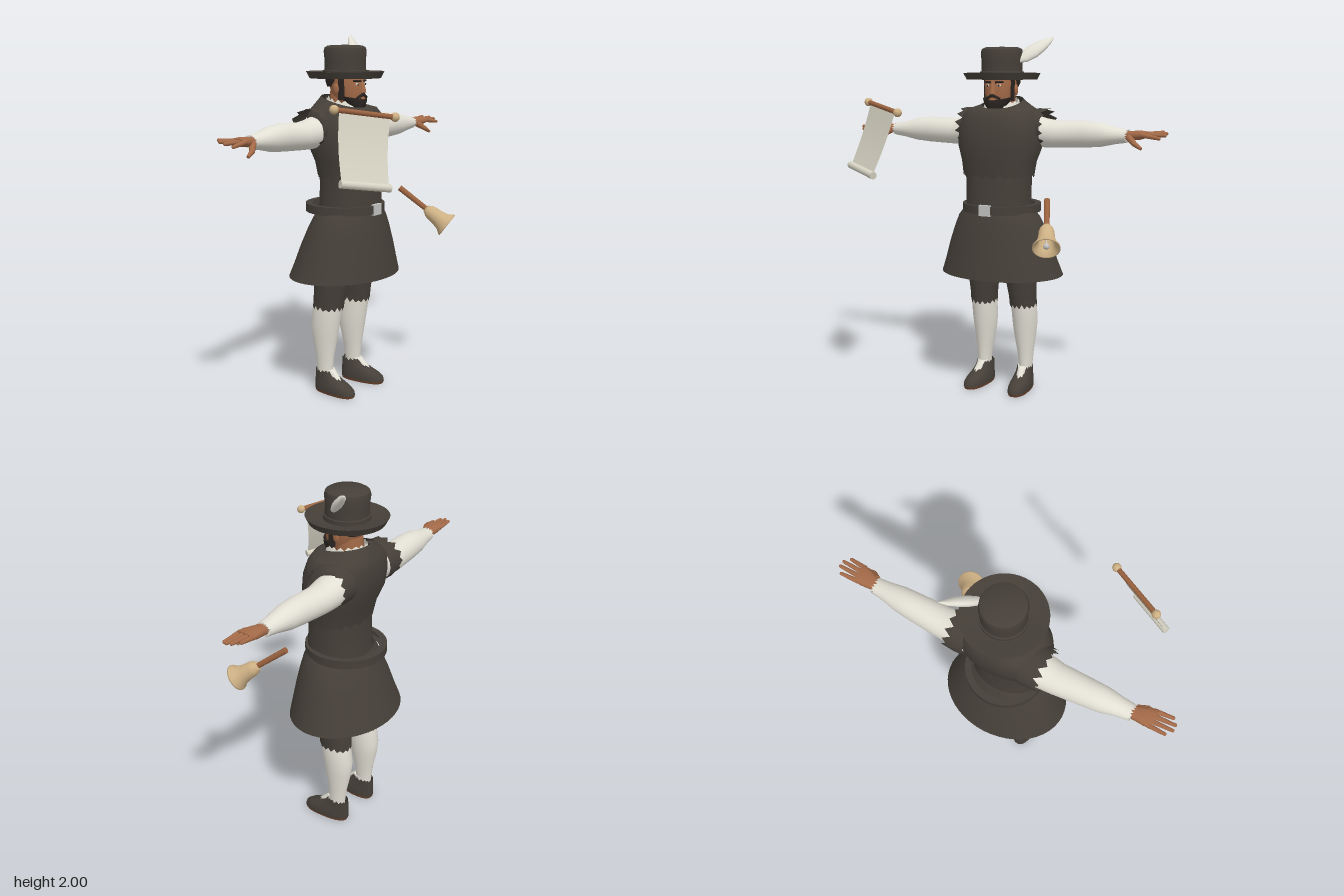
import * as THREE from 'three';
import { toCreasedNormals } from 'three/addons/utils/BufferGeometryUtils.js';

const paint = (name, color, side = THREE.FrontSide) => {
  const m = new THREE.MeshStandardMaterial({ color, side });
  m.name = name;
  return m;
};

// Loft through ovals, lowest first. Ring: [y, rx, zFront, zBack, cx, tilt]
function loft(rings, { n = 32, p = 2, jagLow = 0, jagHigh = 0, caps = true } = {}) {
  const pos = [], idx = [], last = rings.length - 1;
  const bend = v => Math.sign(v) * Math.abs(v) ** (2 / p);
  rings.forEach(([y, rx, zf, zb, cx = 0, tilt = 0], k) => {
    for (let i = 0; i < n; i++) {
      const a = (i / n) * Math.PI * 2, c = bend(Math.cos(a));
      const tooth = (i % 2 ? 1 : 0.35 * Math.sin(i * 2.3)) * (k === 0 ? -jagLow : k === last ? jagHigh : 0);
      pos.push(cx + rx * bend(Math.sin(a)), y - tilt * c + tooth, (zf + zb) / 2 + ((zf - zb) / 2) * c);
    }
  });
  for (let k = 0; k < last; k++) for (let i = 0; i < n; i++) {
    const a = k * n + i, b = k * n + (i + 1) % n;
    idx.push(a, b, a + n, b, b + n, a + n);
  }
  if (caps) for (const k of [0, last]) {
    const [y, , zf, zb, cx = 0] = rings[k], base = pos.length / 3;
    pos.push(...pos.slice(k * n * 3, (k + 1) * n * 3), cx, y, (zf + zb) / 2);
    for (let i = 0; i < n; i++) {
      const a = base + i, b = base + (i + 1) % n;
      idx.push(base + n, ...(k ? [a, b] : [b, a]));
    }
  }
  const g = new THREE.BufferGeometry();
  g.setAttribute('position', new THREE.Float32BufferAttribute(pos, 3));
  g.setIndex(idx);
  g.computeVertexNormals();
  return g;
}

export function createModel() {
  const root = new THREE.Group();
  const cloth = paint('dark cloth', 0x453f38, THREE.DoubleSide);
  const linen = paint('white linen', 0xe2dfd4, THREE.DoubleSide);
  const paper = paint('parchment', 0xd6d3c3, THREE.DoubleSide);
  const skin = paint('skin', 0xa36a48);
  const hair = paint('black hair', 0x2b2521);
  const wood = paint('wood', 0x99623f);
  const brass = paint('pale brass', 0xcdb084, THREE.DoubleSide);
  const steel = paint('steel', 0xc4c4c2);
  const leather = paint('sole leather', 0x6e442e);

  const V = (...a) => new THREE.Vector3(...a);
  const UP = V(0, 1, 0);
  const add = (name, geo, mat, parent = root) => {
    const m = new THREE.Mesh(geo, mat);
    m.name = name;
    parent.add(m);
    return m;
  };
  const aim = (obj, from, to) => {
    obj.position.copy(from);
    obj.quaternion.setFromUnitVectors(UP, to.clone().sub(from).normalize());
    return obj;
  };
  const bar = (name, a, b, ra, rb, mat, parent) => {
    const len = a.distanceTo(b);
    return aim(add(name, new THREE.CylinderGeometry(rb, ra, len, 14).translate(0, len / 2, 0), mat, parent), a, b);
  };
  const ball = (name, at, r, mat, parent, sx = 1, sy = 1, sz = 1) => {
    const m = add(name, new THREE.SphereGeometry(r, 16, 12).scale(sx, sy, sz), mat, parent);
    m.position.copy(at);
    return m;
  };
  const box = (name, w, h, d, x, y, z, mat, parent) =>
    add(name, new THREE.BoxGeometry(w, h, d).translate(x, y, z), mat, parent);

  // Skirt, waistcoat, belt and doublet
  add('skirt', loft([
    [0.68, 0.357, 0.095, -0.463], [0.76, 0.328, 0.083, -0.432], [0.86, 0.298, 0.066, -0.394],
    [0.95, 0.265, 0.048, -0.355], [1.01, 0.238, 0.034, -0.325], [1.045, 0.21, 0.022, -0.305],
  ], { n: 48, caps: false }), cloth);
  add('waistcoat', loft([
    [1.02, 0.19, 0.018, -0.3], [1.1, 0.182, 0.015, -0.295], [1.2, 0.184, 0.008, -0.288], [1.3, 0.19, 0.005, -0.29],
  ], { p: 2.3 }), cloth);
  const beltRing = [0.22, 0.04, -0.398], beltHole = [0.19, 0.012, -0.36];
  add('belt', toCreasedNormals(loft([
    [1.036, ...beltHole], [1.036, ...beltRing], [1.082, ...beltRing], [1.082, ...beltHole],
  ], { n: 48, caps: false }), 0.8), cloth);
  box('beltBuckle', 0.066, 0.06, 0.02, 0, 1.06, 0.036, steel);
  add('doublet', loft([
    [1.25, 0.2, 0.012, -0.29], [1.32, 0.211, 0.022, -0.308], [1.41, 0.24, 0.028, -0.345],
    [1.5, 0.238, 0.022, -0.36], [1.57, 0.22, 0, -0.357], [1.605, 0.19, -0.022, -0.345],
    [1.63, 0.13, -0.05, -0.325, 0, 0.02], [1.642, 0.108, -0.062, -0.31, 0, 0.032],
  ], { n: 40, p: 2.3, jagLow: 0.02, caps: false }), cloth);
  add('shirtCollar', loft([
    [1.56, 0.12, -0.045, -0.3, 0, 0.01], [1.64, 0.09, -0.075, -0.28, 0, 0.015],
  ], { jagHigh: 0.015, caps: false }), linen);

  // Head
  const head = new THREE.Group();
  head.name = 'head';
  root.add(head);
  add('neck', loft([[1.55, 0.07, -0.11, -0.27], [1.7, 0.066, -0.12, -0.262]]), skin, head);
  add('skull', loft([
    [1.585, 0.03, -0.085, -0.15], [1.62, 0.058, -0.07, -0.2], [1.68, 0.077, -0.06, -0.25],
    [1.74, 0.084, -0.06, -0.265], [1.8, 0.083, -0.068, -0.265],
  ], { p: 2.2 }), skin, head);
  add('beard', loft([
    [1.58, 0.022, -0.07, -0.12], [1.605, 0.047, -0.057, -0.15], [1.64, 0.071, -0.052, -0.165], [1.668, 0.08, -0.054, -0.17, 0, 0.01],
  ], { p: 2.2 }), hair, head);
  add('hair', loft([
    [1.72, 0.07, -0.165, -0.27], [1.75, 0.088, -0.155, -0.273], [1.8, 0.088, -0.15, -0.272],
  ], { p: 2.6 }), hair, head);
  add('nose', loft([[1.69, 0.017, -0.036, -0.075], [1.705, 0.016, -0.038, -0.08], [1.755, 0.008, -0.054, -0.08]], { n: 12 }), skin, head);
  ball('mouth', V(0, 1.658, -0.052), 0.02, skin, head, 1, 0.25, 0.25);
  for (const s of [1, -1]) {
    bar('moustache', V(0, 1.682, -0.052), V(s * 0.042, 1.664, -0.062), 0.009, 0.006, hair, head);
    ball('eyeWhite', V(s * 0.034, 1.735, -0.068), 0.012, linen, head, 1, 0.55, 0.6);
    ball('pupil', V(s * 0.034, 1.735, -0.0625), 0.0055, hair, head, 1, 1, 0.5);
    bar('eyebrow', V(s * 0.014, 1.752, -0.058), V(s * 0.056, 1.754, -0.077), 0.006, 0.005, hair, head);
    box('sideburn', 0.01, 0.13, 0.035, s * 0.081, 1.715, -0.14, hair, head);
    ball('ear', V(s * 0.088, 1.71, -0.17), 0.03, skin, head, 0.35, 1, 0.6);
  }

  // Hat and feather
  const hatProfile = [[0, 1.768], [0.195, 1.766], [0.214, 1.802], [0.205, 1.802], [0.16, 1.79], [0.121, 1.786],
    [0.121, 1.808], [0.114, 1.81], [0.112, 1.86], [0.117, 1.91], [0.111, 1.93], [0.094, 1.94], [0, 1.944]];
  const hat = new THREE.LatheGeometry(hatProfile.map(q => new THREE.Vector2(...q)), 48);
  add('hat', toCreasedNormals(hat, 0.7), cloth).position.z = -0.174;
  const feather = add('hatFeather', loft([
    [0, 0.008, 0.008, -0.008], [0.04, 0.034, 0.02, -0.02], [0.1, 0.043, 0.024, -0.024],
    [0.16, 0.036, 0.02, -0.022], [0.21, 0.022, 0.01, -0.016], [0.25, 0.002, 0.002, -0.002],
  ], { n: 16 }), linen);
  aim(feather, V(0.1, 1.863, -0.17), V(0.248, 1.998, -0.322));

  // Arms and legs, the second side mirrored
  for (const s of [1, -1]) {
    const side = new THREE.Group();
    side.name = s > 0 ? 'leftLimbs' : 'rightLimbs';
    side.scale.x = s;
    root.add(side);

    // Lofts along x
    const along = (name, rings, mat, opts) => add(name, loft(rings, opts).rotateZ(-Math.PI / 2), mat, side);
    along('shoulderCap', [
      [0.15, 0.105, -0.105, -0.345, -1.5], [0.2, 0.107, -0.11, -0.348, -1.503], [0.235, 0.103, -0.115, -0.345, -1.505],
    ], cloth, { n: 26, jagHigh: 0.032, caps: false });
    along('sleeve', [
      [0.15, 0.09, -0.13, -0.325, -1.49], [0.25, 0.08, -0.14, -0.32, -1.475], [0.32, 0.074, -0.15, -0.315, -1.47],
      [0.48, 0.073, -0.155, -0.302, -1.476], [0.57, 0.064, -0.157, -0.292, -1.475],
      [0.65, 0.045, -0.168, -0.272, -1.473], [0.71, 0.034, -0.175, -0.262, -1.473],
    ], linen, { jagHigh: 0.015 });
    along('palm', [
      [0.69, 0.024, -0.185, -0.25, -1.474], [0.74, 0.025, -0.175, -0.25, -1.477],
      [0.79, 0.024, -0.155, -0.255, -1.481], [0.83, 0.016, -0.152, -0.254, -1.485],
    ], skin, { n: 20, p: 2.4 });
    for (const [z, tipX, tipY, tipZ] of [[-0.164, 0.905, 1.47, -0.15], [-0.19, 0.927, 1.484, -0.183], [-0.217, 0.927, 1.492, -0.215], [-0.243, 0.9, 1.497, -0.25]]) {
      const tip = V(tipX, tipY, tipZ);
      bar('finger', V(0.81, 1.484, z), tip, 0.0135, 0.009, skin, side);
      ball('fingertip', tip, 0.009, skin, side);
    }
    bar('thumb', V(0.735, 1.468, -0.185), V(0.775, 1.437, -0.152), 0.02, 0.014, skin, side);
    ball('thumbJoint', V(0.775, 1.437, -0.152), 0.014, skin, side);
    bar('thumbEnd', V(0.775, 1.437, -0.152), V(0.815, 1.414, -0.142), 0.014, 0.008, skin, side);

    // Leg
    add('breeches', loft([
      [0.505, 0.073, -0.115, -0.302, 0.124], [0.55, 0.075, -0.107, -0.297, 0.122], [0.68, 0.09, -0.085, -0.287, 0.116],
      [0.85, 0.098, -0.06, -0.285, 0.1], [1.0, 0.095, -0.05, -0.285, 0.095],
    ], { jagLow: 0.018, caps: false }), cloth, side);
    add('stocking', loft([
      [0.08, 0.036, -0.18, -0.275, 0.132], [0.14, 0.037, -0.178, -0.278, 0.132], [0.22, 0.046, -0.17, -0.288, 0.13],
      [0.32, 0.061, -0.152, -0.308, 0.127], [0.4, 0.069, -0.138, -0.315, 0.127], [0.48, 0.07, -0.125, -0.302, 0.126],
      [0.56, 0.066, -0.115, -0.292, 0.123],
    ]), linen, side);
    const shoe = new THREE.Group();
    shoe.name = 'shoe';
    shoe.position.set(0.133, 0, -0.158);
    shoe.rotation.y = 0.08;
    side.add(shoe);
    add('sole', loft([[0, 0.052, 0.133, -0.133], [0.014, 0.056, 0.138, -0.137]], { p: 2.5 }), leather, shoe);
    add('upper', loft([
      [0.014, 0.057, 0.139, -0.138], [0.035, 0.058, 0.134, -0.138], [0.055, 0.054, 0.108, -0.137],
      [0.075, 0.049, 0.06, -0.136], [0.1, 0.044, 0.015, -0.135], [0.12, 0.041, -0.012, -0.133],
    ], { p: 2.3, jagHigh: 0.012, caps: false }), cloth, shoe);
    add('shoeTongue', loft([[0.085, 0.026, 0.048, -0.04], [0.115, 0.024, 0.014, -0.05], [0.135, 0.036, -0.01, -0.11]], { n: 16, jagLow: 0.012 }), linen, shoe);
  }

  // Scroll on its rod
  const scroll = new THREE.Group();
  scroll.name = 'scroll';
  root.add(scroll);
  const rodA = V(-0.614, 1.645, 0.226), rodB = V(-0.333, 1.599, 0.382);
  const rollA = V(-0.682, 1.307, 0.312), rollB = V(-0.453, 1.27, 0.439);
  bar('scrollRod', rodA, rodB, 0.013, 0.013, wood, scroll);
  for (const end of [rodA, rodB]) ball('rodKnob', end, 0.023, brass, scroll);
  bar('scrollRoll', rollA, rollB, 0.02, 0.02, paper, scroll);
  const sheet = new THREE.PlaneGeometry(1, 1, 1, 10), sp = sheet.attributes.position;
  for (let i = 0; i < sp.count; i++) {
    const u = sp.getX(i) + 0.5, v = 0.5 - sp.getY(i);
    const top = rodA.clone().lerp(rodB, 0.08 + 0.84 * u), low = rollA.clone().lerp(rollB, 0.03 + 0.94 * u);
    top.lerp(low, v).z -= 0.012 * Math.sin(v * Math.PI);
    sp.setXYZ(i, top.x, top.y, top.z);
  }
  sheet.computeVertexNormals();
  add('scrollSheet', sheet, paper, scroll);

  // Hand bell, built along its axis from the handle end
  const bell = aim(new THREE.Group(), V(0.335, 1.13, -0.038), V(0.443, 0.92, 0.222));
  bell.name = 'handBell';
  root.add(bell);
  bar('bellHandle', V(0, 0, 0), V(0, 0.205, 0), 0.017, 0.015, wood, bell);
  const bellProfile = [[0, 0.19], [0.022, 0.192], [0.027, 0.205], [0.036, 0.215], [0.041, 0.235], [0.045, 0.28],
    [0.054, 0.315], [0.072, 0.342], [0.073, 0.35], [0.067, 0.35], [0.045, 0.32], [0.035, 0.24], [0, 0.23]];
  add('bellBody', new THREE.LatheGeometry(bellProfile.map(q => new THREE.Vector2(...q)).reverse(), 32), brass, bell);
  bar('clapperRod', V(0, 0.23, 0), V(0, 0.33, 0), 0.004, 0.004, steel, bell);
  ball('clapper', V(0, 0.335, 0), 0.016, steel, bell);

  return root;
}
